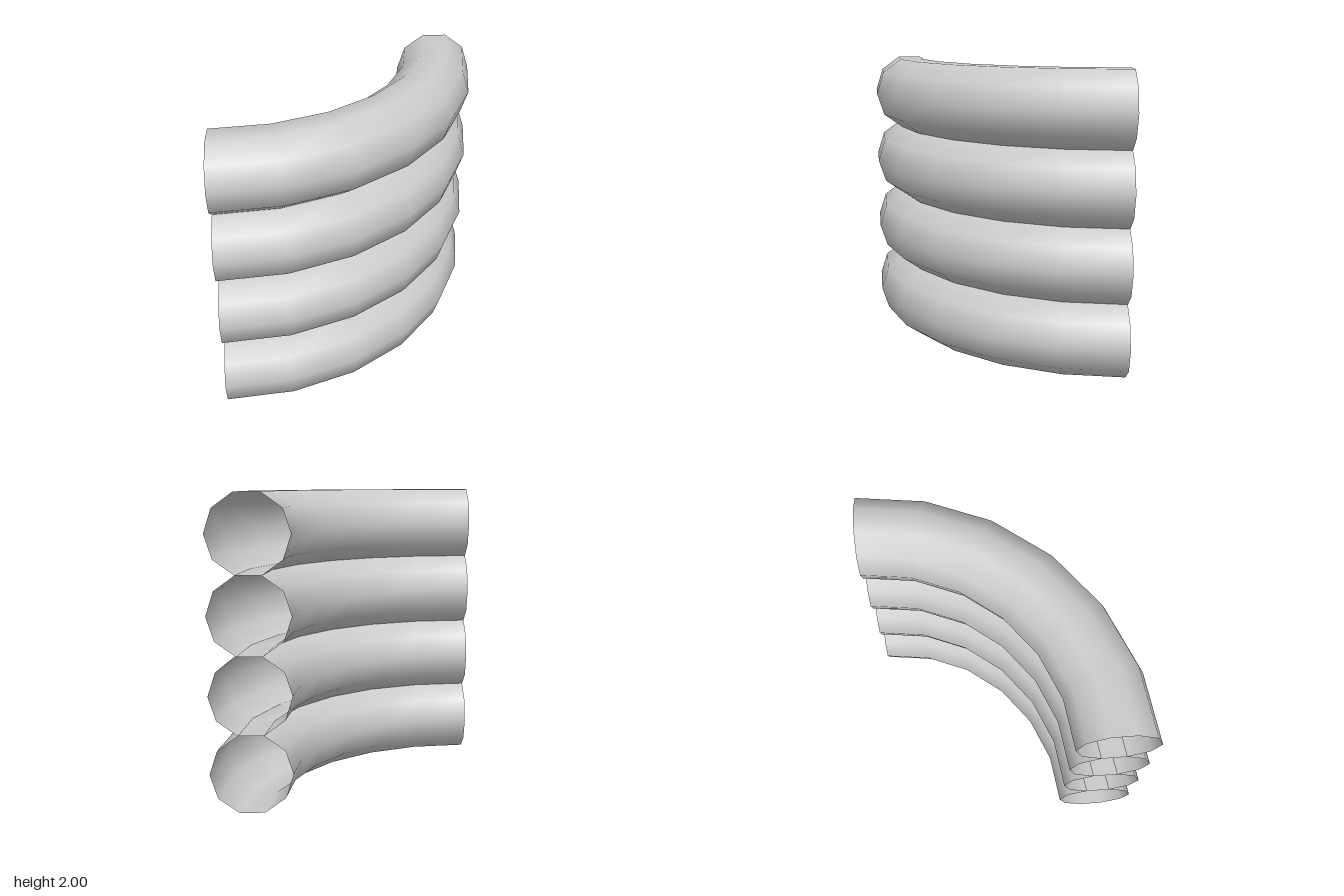
import * as THREE from 'three';

export function createModel() {
  const model = new THREE.Group();
  model.name = 'stackedPipeBends';
  const material = new THREE.MeshStandardMaterial({ color: 0xcccccc, side: THREE.DoubleSide });

  const count = 4;
  const spacing = 0.5;
  const bendRadius = 1.52;
  // A ten-sided pipe whose height (flat to flat corners) equals the spacing
  const pipeRadius = spacing / 2 / Math.sin(THREE.MathUtils.degToRad(72));

  // Open quarter bend, laid flat and turned slightly about the vertical
  const bend = new THREE.TorusGeometry(bendRadius, pipeRadius, 10, 6, Math.PI / 2);
  bend.rotateZ(THREE.MathUtils.degToRad(4.36));
  bend.rotateX(Math.PI / 2);
  bend.translate(-0.821, 0, -0.937);

  // Identical bends stacked so that they touch
  for (let i = 0; i < count; i++) {
    const pipe = new THREE.Mesh(bend, material);
    pipe.name = `pipeBend${i + 1}`;
    pipe.position.y = spacing * (i + 0.5);
    model.add(pipe);
  }
  return model;
}
